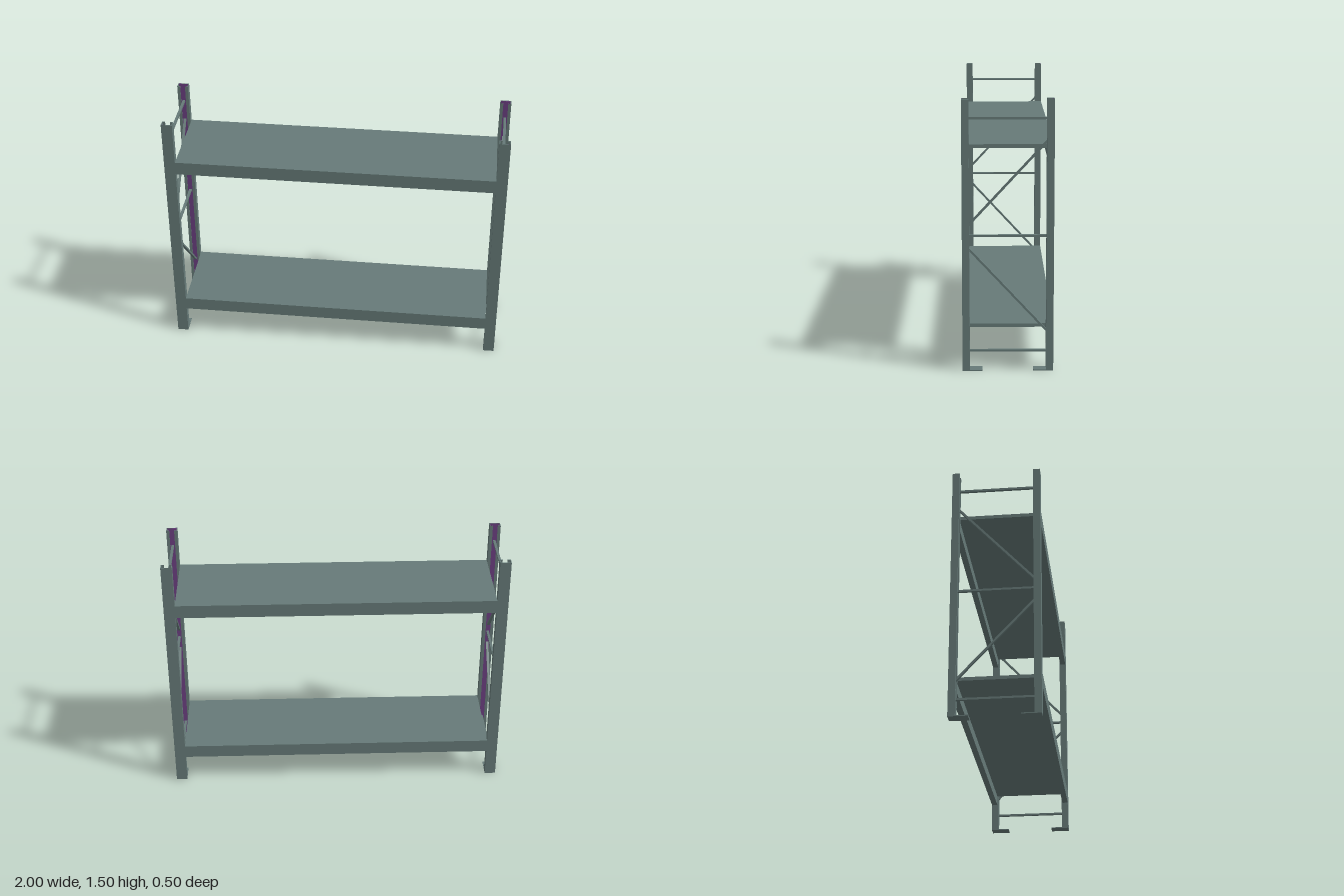
import * as THREE from 'three';

export function createModel() {
  const rack = new THREE.Group();
  rack.name = 'storageRack';
  const steel = new THREE.MeshStandardMaterial({ color: 0x667a78 });
  steel.name = 'grey green steel';
  const lining = new THREE.MeshStandardMaterial({ color: 0x6b3f80 });
  lining.name = 'purple lining';

  const H = 1.505, W = 0.065, D = 0.04, T = 0.004, LIP = 0.018;

  function box(parent, name, w, h, d, x, y, z, material = steel) {
    const mesh = new THREE.Mesh(new THREE.BoxGeometry(w, h, d), material);
    mesh.name = name;
    mesh.position.set(x, y, z);
    parent.add(mesh);
    return mesh;
  }

  // Lipped channel section: web on the outer side, slot facing the middle of the rack
  const h = W / 2;
  const section = new THREE.Shape([
    [-h, 0], [h, 0], [h, D], [h - LIP, D], [h - LIP, D - T], [h - T, D - T],
    [h - T, T], [-h + T, T], [-h + T, D - T], [-h + LIP, D - T], [-h + LIP, D], [-h, D],
  ].map(([x, y]) => new THREE.Vector2(x, y)));
  const channel = new THREE.ExtrudeGeometry(section, { depth: H, bevelEnabled: false });
  channel.rotateX(-Math.PI / 2); // the slot now faces -z

  function upright(sx, sz) {
    const post = new THREE.Group();
    post.name = 'upright';
    const body = new THREE.Mesh(channel, steel);
    body.name = 'uprightChannel';
    post.add(body);
    box(post, 'channelLining', W - 2 * T, H - 0.002, 0.002, 0, H / 2, -T - 0.001, lining);
    box(post, 'basePlate', W, 0.006, 0.11, 0, 0.003, -0.055);
    post.position.set(sx * (1 - h), 0, sz * 0.25);
    if (sz < 0) post.rotation.y = Math.PI;
    rack.add(post);
  }

  // Brace between two points (z, y) in the plane of an end frame
  function brace(parent, name, x, z1, y1, z2, y2) {
    const bar = box(parent, name, 0.015, 0.012, Math.hypot(z2 - z1, y2 - y1),
      x, (y1 + y2) / 2, (z1 + z2) / 2);
    bar.rotation.x = -Math.atan2(y2 - y1, z2 - z1);
  }

  // End frames
  for (const sx of [-1, 1]) {
    for (const sz of [-1, 1]) upright(sx, sz);
    const bracing = new THREE.Group();
    bracing.name = 'bracing';
    const x = sx * (1 - h);
    for (const y of [0.108, 0.757, 1.4]) brace(bracing, 'crossBar', x, -0.22, y, 0.22, y);
    brace(bracing, 'upperDiagonal', x, 0.215, 0.815, -0.215, 1.28);
    brace(bracing, 'lowerDiagonal', x, 0.215, 0.685, -0.215, 0.22);
    rack.add(bracing);
  }

  // Shelf levels: deck with a beam under each long edge
  const span = 2 * (1 - W);
  for (const top of [0.252, 1.254]) {
    const shelf = new THREE.Group();
    shelf.name = 'shelf';
    box(shelf, 'deck', span, 0.02, 0.5, 0, top - 0.01, 0);
    for (const sz of [-1, 1]) {
      box(shelf, 'beam', span, 0.06, D - 0.005, 0, top - 0.05, sz * (0.25 - (D - 0.005) / 2));
    }
    rack.add(shelf);
  }
  return rack;
}
